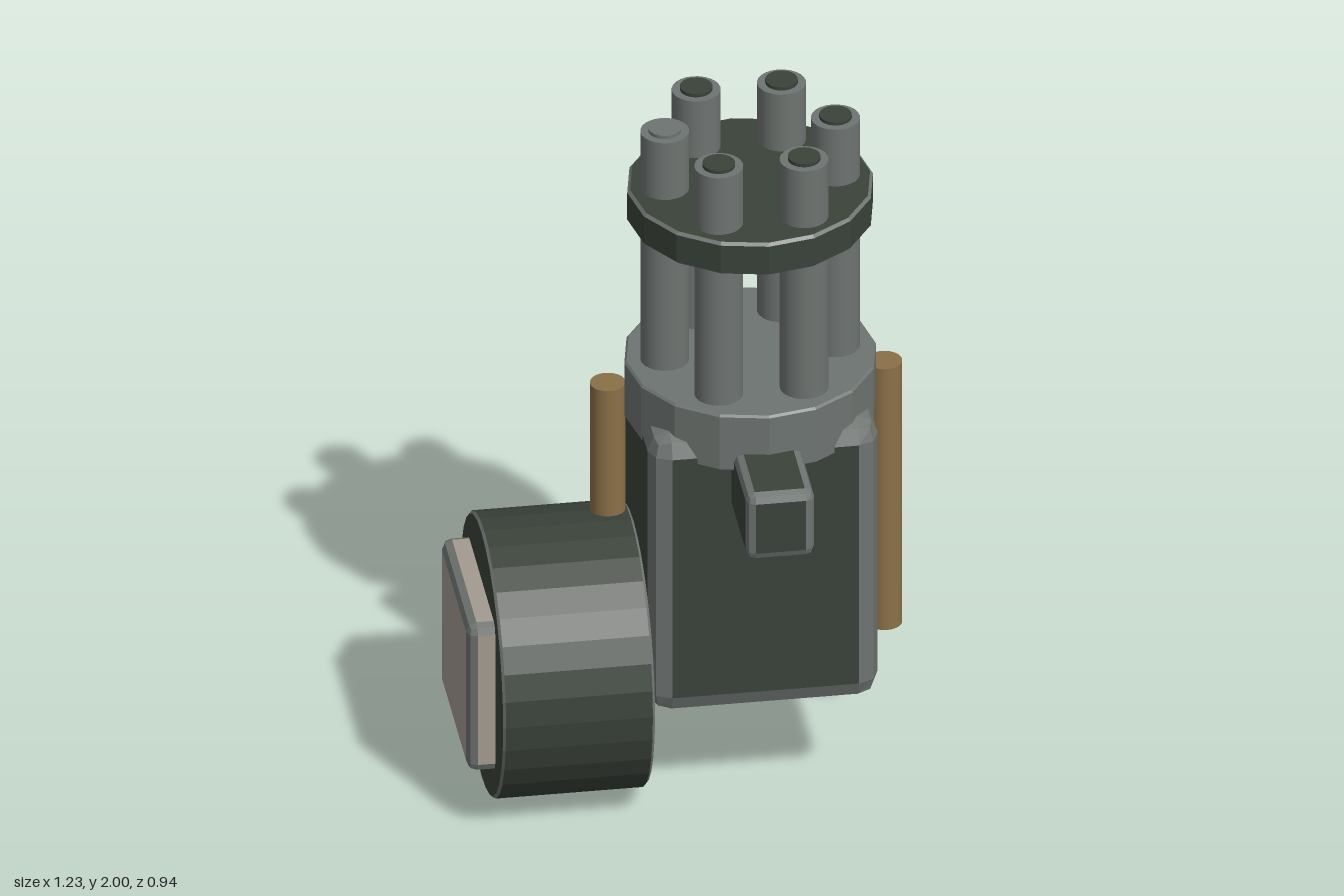
import * as THREE from 'three';
import { RoundedBoxGeometry } from 'three/addons/geometries/RoundedBoxGeometry.js';

const material = (name, color) => {
  const m = new THREE.MeshStandardMaterial({ color });
  m.name = name;
  return m;
};

// Splits a geometry into flat-shaded main faces and bevel faces, one material each.
function twoTone(source, isMain) {
  const src = source.index ? source.toNonIndexed() : source;
  const p = src.attributes.position;
  const main = [], bevel = [];
  const tri = new THREE.Triangle(), n = new THREE.Vector3();
  for (let i = 0; i < p.count; i += 3) {
    tri.setFromAttributeAndIndices(p, i, i + 1, i + 2);
    if (tri.getArea() < 1e-9) continue;
    tri.getNormal(n);
    (isMain(n) ? main : bevel).push(...tri.a.toArray(), ...tri.b.toArray(), ...tri.c.toArray());
  }
  const geo = new THREE.BufferGeometry();
  geo.setAttribute('position', new THREE.Float32BufferAttribute([...main, ...bevel], 3));
  geo.computeVertexNormals();
  geo.addGroup(0, main.length / 3, 0);
  geo.addGroup(main.length / 3, bevel.length / 3, 1);
  return geo;
}

const bevelBox = (w, h, d, r) =>
  twoTone(new RoundedBoxGeometry(w, h, d, 1, r),
    (n) => Math.max(Math.abs(n.x), Math.abs(n.y), Math.abs(n.z)) > 0.999);

const bevelDisc = (r, h, b, sides) => {
  const profile = [[0, -h / 2], [r - b, -h / 2], [r, -h / 2 + b], [r, h / 2 - b], [r - b, h / 2], [0, h / 2]];
  return twoTone(new THREE.LatheGeometry(profile.map(([x, y]) => new THREE.Vector2(x, y)), sides),
    (n) => Math.abs(n.y) < 0.01 || Math.abs(n.y) > 0.99);
};

export function createModel() {
  const dark = material('dark green', 0x3a423a);
  const steel = material('steel grey', 0x6e7471);
  const beige = material('warm grey', 0xa39b91);
  const brass = material('brass brown', 0x8a7048);

  const model = new THREE.Group();
  const add = (name, geo, mat, x, y, z, parent = model) => {
    const mesh = new THREE.Mesh(geo, mat);
    mesh.name = name;
    mesh.position.set(x, y, z);
    parent.add(mesh);
    return mesh;
  };

  const cx = 0.19, cz = -0.083; // barrel axis

  // Housing and front handle
  add('housing', bevelBox(0.626, 0.868, 0.522, 0.06), [dark, steel], cx, 0.749, -0.065);
  add('handle', bevelBox(0.186, 0.204, 0.42, 0.025), [dark, steel], cx, 1.053, 0.259);

  // Collar and barrel clamp
  add('collar', bevelDisc(0.342, 0.175, 0.006, 16), [steel, steel], cx, 1.1875, cz);
  add('barrelClamp', bevelDisc(0.334, 0.1, 0.008, 16), [dark, steel], cx, 1.762, cz);

  // Ring of six barrels; the rightmost one is plugged in grey
  const barrels = new THREE.Group();
  barrels.name = 'barrels';
  model.add(barrels);
  const tube = new THREE.CylinderGeometry(0.066, 0.066, 0.77, 24);
  const bore = new THREE.CylinderGeometry(0.044, 0.044, 0.018, 24);
  for (let i = 0; i < 6; i++) {
    const a = (i * Math.PI) / 3;
    const x = cx + 0.232 * Math.cos(a), z = cz + 0.232 * Math.sin(a);
    add('barrel', tube, steel, x, 1.605, z, barrels);
    add('bore', bore, i === 3 ? steel : dark, x, 1.991, z, barrels);
  }

  // Ammunition drum with its end plate
  const drum = add('drum', bevelDisc(0.389, 0.413, 0.007, 32), [dark, steel], -0.3335, 0.39, -0.081);
  drum.rotation.z = Math.PI / 2;
  add('drumPlate', bevelBox(0.14, 0.46, 0.488, 0.028), [beige, steel], -0.545, 0.395, -0.082);

  // Side rods
  const rod = new THREE.CylinderGeometry(0.048, 0.048, 0.82, 24);
  for (const side of [-1, 1]) {
    add(side > 0 ? 'leftRod' : 'rightRod', rod, brass, cx + side * 0.376, 0.76, -0.155);
  }

  return model;
}
